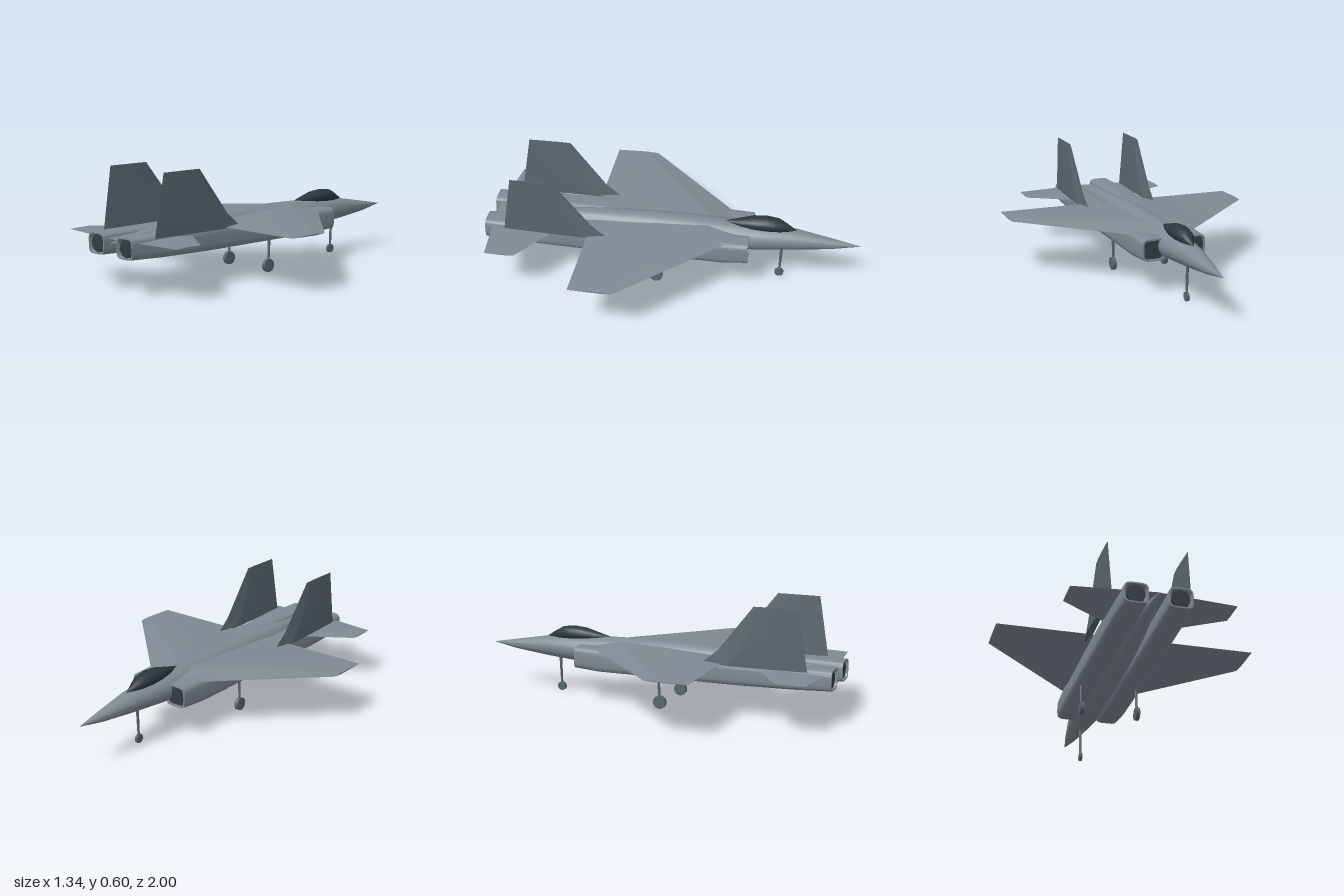
import * as THREE from 'three';
import { toCreasedNormals } from 'three/addons/utils/BufferGeometryUtils.js';

const V = (x, y, z) => new THREE.Vector3(x, y, z);
const mat = (name, color) => Object.assign(new THREE.MeshStandardMaterial({ color }), { name });

// Closed skin through a list of equal-length rings; winding is fixed by the signed volume
function loft(rings, crease = 0.6) {
  const tris = [];
  const n = rings[0].length;
  for (let i = 0; i < rings.length - 1; i++) {
    for (let j = 0; j < n; j++) {
      const k = (j + 1) % n;
      const a = rings[i][j], b = rings[i][k], c = rings[i + 1][k], d = rings[i + 1][j];
      tris.push([a, b, c], [a, c, d]);
    }
  }
  const cap = (ring, flip) => {
    const mid = ring.reduce((s, p) => s.add(p), V(0, 0, 0)).divideScalar(n);
    ring.forEach((p, j) => {
      const q = ring[(j + 1) % n];
      tris.push(flip ? [mid, q, p] : [mid, p, q]);
    });
  };
  cap(rings[0], true);
  cap(rings[rings.length - 1], false);
  const volume = tris.reduce((s, [a, b, c]) => s + a.dot(b.clone().cross(c)), 0);
  const points = tris.flatMap(([a, b, c]) => (volume < 0 ? [a, c, b] : [a, b, c]));
  return toCreasedNormals(new THREE.BufferGeometry().setFromPoints(points), crease);
}

// Superellipse ring across the z axis: power 1 is an ellipse, smaller is squarer
function ring(z, cx, halfW, yLow, yHigh, power = 1, n = 24) {
  const bend = (v) => Math.sign(v) * Math.abs(v) ** power;
  return Array.from({ length: n }, (_, i) => {
    const a = ((i + 0.5) / n) * Math.PI * 2;
    return V(cx + halfW * bend(Math.cos(a)),
      (yLow + yHigh) / 2 + ((yHigh - yLow) / 2) * bend(Math.sin(a)), z);
  });
}

// Thin lens profile: fraction of chord, fraction of half thickness
const LENS = [[0, 0], [0.25, 1], [0.55, 0.75], [1, 0.04], [1, -0.04], [0.55, -0.75], [0.25, -1]];
const lens = (front, back, half, place) =>
  LENS.map(([c, t]) => place(front + (back - front) * c, half * t));

export function createModel() {
  const jet = new THREE.Group();
  jet.name = 'jet';
  const body = mat('body grey', 0x7f8a94);
  const finGrey = mat('fin slate', 0x5a6670);
  const glass = mat('canopy glass', 0x2b363d);
  const dark = mat('duct dark', 0x343c42);
  const gear = mat('gear grey', 0x59656f);

  const add = (name, geometry, material, x = 0, y = 0, z = 0) => {
    const mesh = new THREE.Mesh(geometry, material);
    mesh.name = name;
    mesh.position.set(x, y, z);
    jet.add(mesh);
    return mesh;
  };

  // Fuselage: z, half width, bottom, top
  const hull = [
    [-1, 0.001, 0.244, 0.246], [-0.85, 0.03, 0.218, 0.274], [-0.65, 0.06, 0.197, 0.31],
    [-0.43, 0.084, 0.18, 0.325], [-0.28, 0.084, 0.176, 0.332], [-0.05, 0.083, 0.176, 0.338],
    [0.15, 0.08, 0.178, 0.336], [0.4, 0.066, 0.185, 0.325], [0.6, 0.052, 0.2, 0.312],
    [0.8, 0.036, 0.215, 0.295], [0.99, 0.004, 0.245, 0.255],
  ];
  add('fuselage', loft(hull.map(([z, w, lo, hi]) => ring(z, 0, w, lo, hi)), 0.7), body);

  // Canopy
  const hood = [
    [-0.66, 0.003, 0.304, 0.31], [-0.61, 0.024, 0.295, 0.343], [-0.565, 0.041, 0.295, 0.368],
    [-0.5, 0.049, 0.295, 0.376], [-0.43, 0.046, 0.3, 0.37], [-0.36, 0.03, 0.305, 0.352],
    [-0.28, 0.003, 0.326, 0.332],
  ];
  add('canopy', loft(hood.map(([z, w, lo, hi]) => ring(z, 0, w, lo, hi, 1, 16))), glass);

  for (const s of [1, -1]) {
    const side = s > 0 ? 'left' : 'right';

    // Engine nacelle with a recessed duct at each end
    const duct = [
      [-0.36, 0.111, 0.048, 0.193, 0.281], [-0.42, 0.111, 0.053, 0.188, 0.286],
      [-0.42, 0.111, 0.062, 0.179, 0.295], [-0.28, 0.115, 0.065, 0.17, 0.297],
      [0.5, 0.115, 0.065, 0.172, 0.297], [0.8, 0.113, 0.064, 0.178, 0.296],
      [1, 0.109, 0.06, 0.187, 0.294], [1, 0.109, 0.053, 0.194, 0.287],
      [0.94, 0.109, 0.05, 0.197, 0.284],
    ];
    add(side + 'Nacelle',
      loft(duct.map(([z, x, w, lo, hi]) => ring(z, s * x, w, lo, hi, 0.45, 32)), 0.7), body);
    add(side + 'Intake', loft([-0.412, -0.404].map((z) =>
      ring(z, s * 0.111, 0.052, 0.189, 0.285, 0.45, 32))), dark);
    add(side + 'Nozzle', new THREE.CylinderGeometry(0.046, 0.048, 0.05, 20).rotateX(Math.PI / 2),
      dark, s * 0.109, 0.24, 0.965);

    // Wing: x, leading edge, trailing edge, half thickness
    add(side + 'Wing', loft([[0.03, -0.41, 0.43, 0.032], [0.18, -0.28, 0.43, 0.025], [0.67, 0.2, 0.43, 0.004]]
      .map(([x, f, b, t]) => lens(f, b, t, (z, h) => V(s * x, 0.29 + h, z))), 0.1), body);

    // Tailplane
    add(side + 'Tailplane', loft([[0, 0.51, 0.975, 0.013], [0.41, 0.78, 0.935, 0.003]]
      .map(([x, f, b, t]) => lens(f, b, t, (z, h) => V(s * x, 0.268 + h, z))), 0.1), body);

    // Upright fin: height, leading edge, trailing edge, half thickness, x
    add(side + 'Fin', loft([[0.285, 0.32, 0.882, 0.018, 0.197], [0.36, 0.41, 0.87, 0.015, 0.199], [0.6, 0.6, 0.83, 0.003, 0.204]]
      .map(([y, f, b, t, x]) => lens(f, b, t, (z, h) => V(s * x + h, y, z))), 0.1), finGrey);
  }

  // Landing gear: name, x, z, wheel radius, wheel width, strut top
  const legs = [['nose', 0, -0.58, 0.024, 0.014, 0.21], ['leftMain', 0.15, 0.07, 0.035, 0.02, 0.19],
    ['rightMain', -0.15, 0.07, 0.035, 0.02, 0.19]];
  for (const [name, x, z, r, w, top] of legs) {
    add(name + 'Wheel', toCreasedNormals(new THREE.CylinderGeometry(r, r, w, 20).rotateZ(Math.PI / 2), 0.6),
      gear, x, r + 0.003, z);
    const strut = add(name + 'Strut', new THREE.CylinderGeometry(0.008, 0.006, top - r, 10),
      gear, x, (top + r) / 2, z - 0.004);
    strut.rotation.x = -0.04;
  }
  return jet;
}
